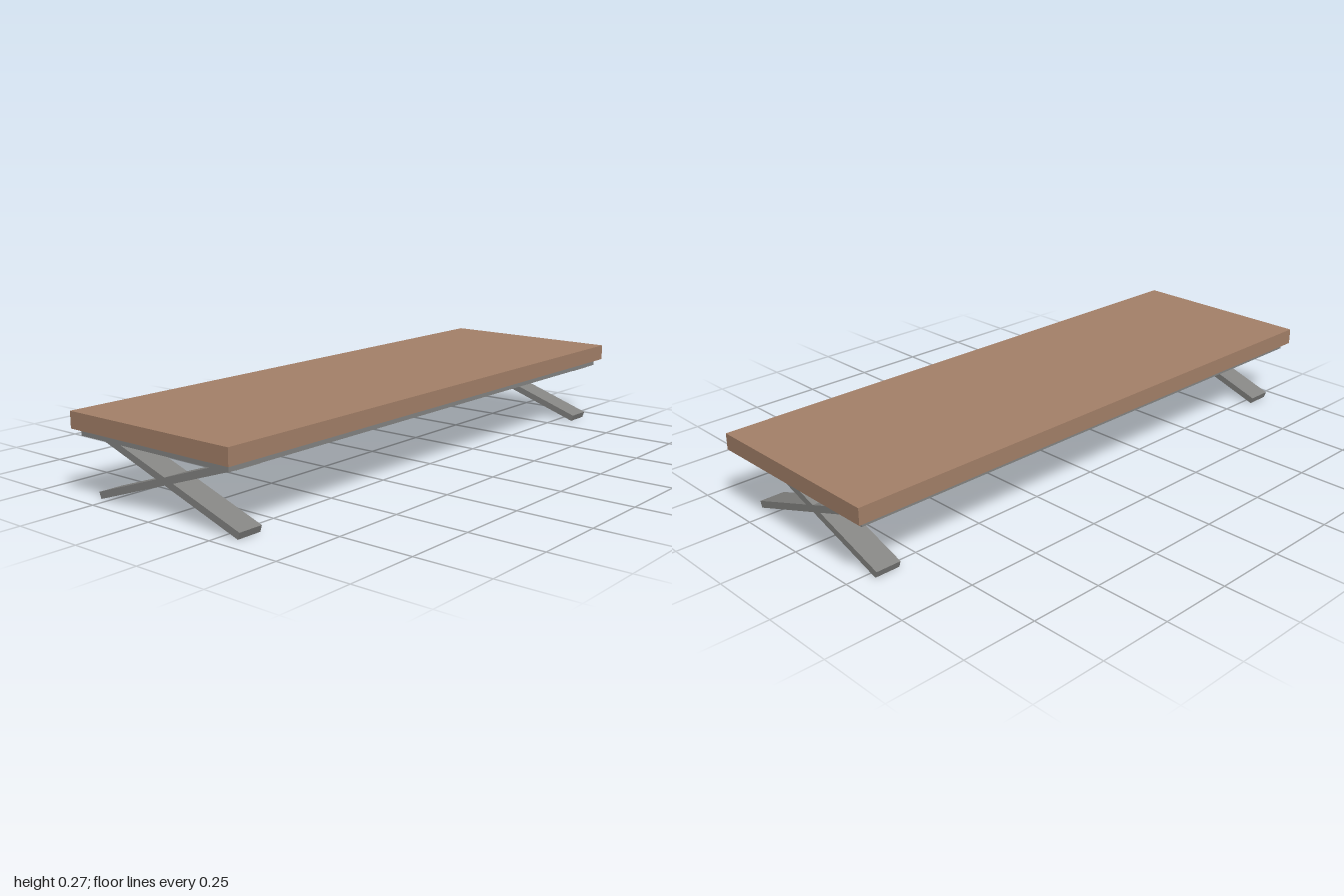
import * as THREE from 'three';

export function createModel() {
  const model = new THREE.Group();
  const wood = new THREE.MeshStandardMaterial({ name: 'wood', color: 0xa58169 });
  const metal = new THREE.MeshStandardMaterial({ name: 'grey metal', color: 0x858583 });

  const addBox = (name, material, size, position, parent = model) => {
    const mesh = new THREE.Mesh(new THREE.BoxGeometry(...size), material);
    mesh.name = name;
    mesh.position.set(...position);
    parent.add(mesh);
    return mesh;
  };

  // Thick wooden slab on a slightly smaller plate
  addBox('tableTop', wood, [2, 0.054, 0.667], [0, 0.249, 0]);
  addBox('underPlate', metal, [1.957, 0.022, 0.624], [-0.002, 0.211, 0.001]);

  // One crossed pair of flat bars near each end, upper ends set into the plate
  for (const [name, x] of [['rightLegs', -0.902], ['leftLegs', 0.877]]) {
    const legs = new THREE.Group();
    legs.name = name;
    legs.position.set(x, 0.1105, 0.0125);
    for (const side of [-1, 1]) {
      const bar = addBox(side > 0 ? 'crossBarA' : 'crossBarB', metal, [0.086, 0.0225, 0.623], [0, 0, 0], legs);
      bar.rotation.x = side * THREE.MathUtils.degToRad(18.45);
    }
    model.add(legs);
  }
  return model;
}
